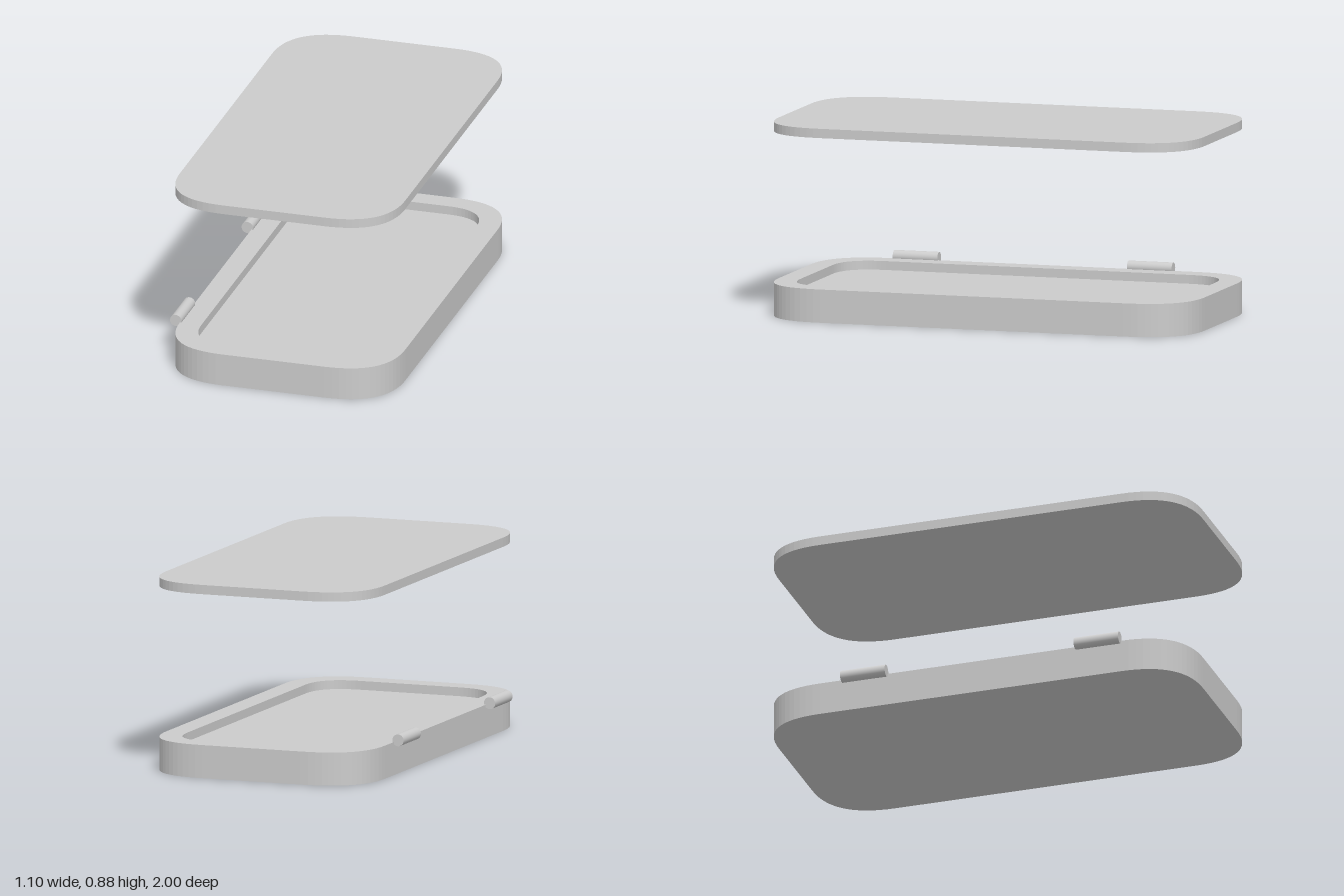
import * as THREE from 'three';

const material = new THREE.MeshStandardMaterial({ color: 0xcccccc });
const CENTRE_X = 0.022, WIDTH = 1.053, LENGTH = 2, CORNER = 0.29;

// Rounded rectangle outline, pulled in by an inset on every side
function outline(inset, Type = THREE.Shape) {
  const x = WIDTH / 2 - inset, y = LENGTH / 2 - inset, r = CORNER - inset;
  const s = new Type();
  s.moveTo(-x + r, -y);
  s.lineTo(x - r, -y);
  s.quadraticCurveTo(x, -y, x, -y + r);
  s.lineTo(x, y - r);
  s.quadraticCurveTo(x, y, x - r, y);
  s.lineTo(-x + r, y);
  s.quadraticCurveTo(-x, y, -x, y - r);
  s.lineTo(-x, -y + r);
  s.quadraticCurveTo(-x, -y, -x + r, -y);
  return s;
}

// Flat slab with its underside at the given height
function slab(name, shape, bottom, height) {
  const geometry = new THREE.ExtrudeGeometry(shape, { depth: height, bevelEnabled: false, curveSegments: 16 });
  geometry.rotateX(-Math.PI / 2);
  geometry.translate(CENTRE_X, bottom, 0);
  const mesh = new THREE.Mesh(geometry, material);
  mesh.name = name;
  return mesh;
}

export function createModel() {
  const model = new THREE.Group();
  model.name = 'caseWithLid';

  // Tray: solid base with a raised rim around a shallow recess
  const tray = new THREE.Group();
  tray.name = 'tray';
  const rim = outline(0);
  rim.holes.push(outline(0.1, THREE.Path));
  tray.add(slab('trayBase', outline(0), 0, 0.11), slab('trayRim', rim, 0.11, 0.04));
  model.add(tray);

  // Lid floating above the tray
  model.add(slab('lid', outline(0), 0.833, 0.042));

  // Hinge barrels along the right edge
  [['frontHinge', 0.605], ['backHinge', -0.495]].forEach(([name, z]) => {
    const hinge = new THREE.Mesh(new THREE.CylinderGeometry(0.027, 0.027, 0.21, 32), material);
    hinge.name = name;
    hinge.rotation.x = Math.PI / 2;
    hinge.position.set(-0.523, 0.158, z);
    model.add(hinge);
  });

  return model;
}
